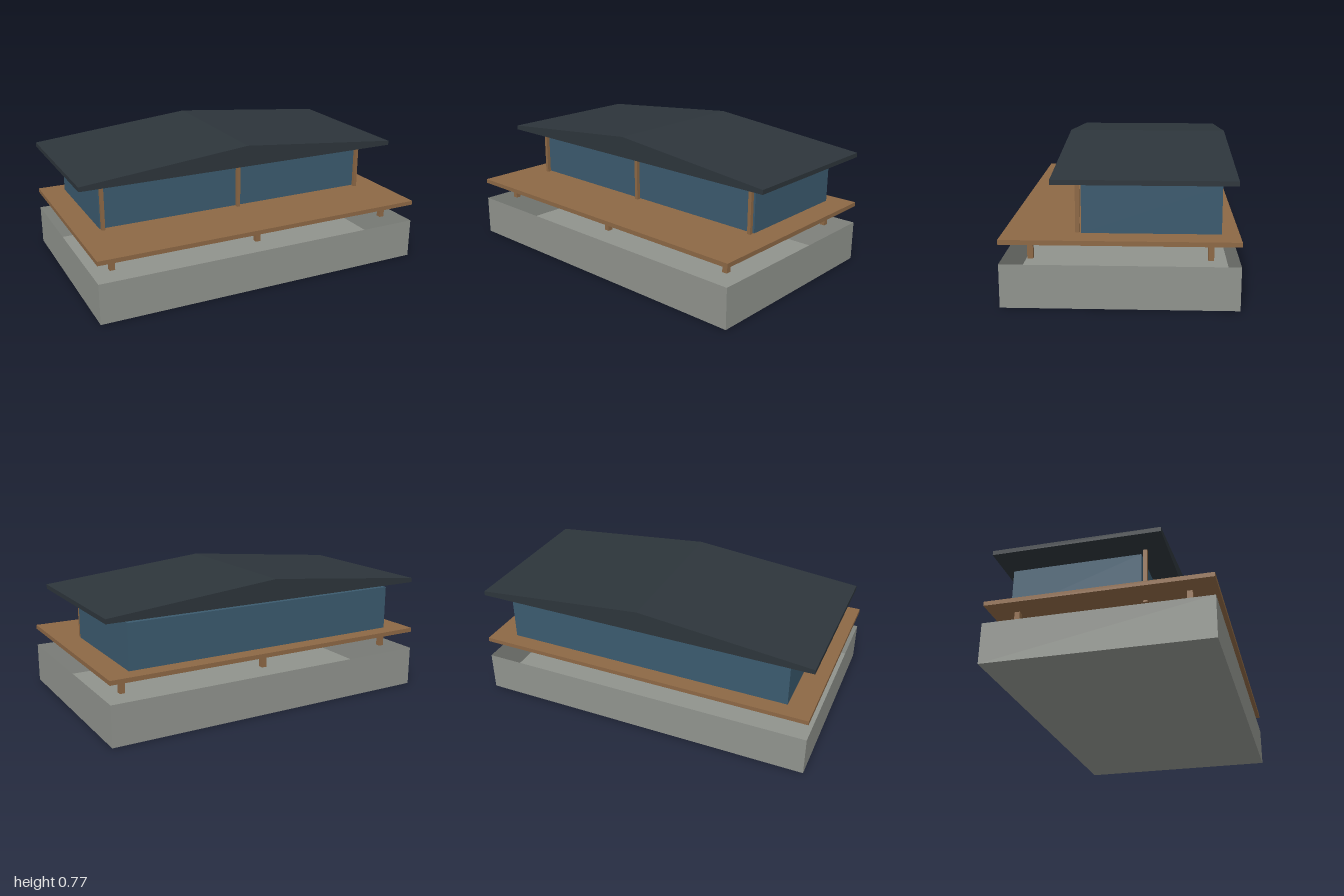
import * as THREE from 'three';

const mat = (name, color, side = THREE.FrontSide) => {
  const m = new THREE.MeshStandardMaterial({ color, side });
  m.name = name;
  return m;
};

export function createModel() {
  const house = new THREE.Group();
  house.name = 'pavilion';
  const concrete = mat('concrete', 0x90938d, THREE.DoubleSide);
  const wood = mat('wood', 0x8d6845);
  const glass = mat('blueWall', 0x3b5a6e);
  const slate = mat('slate', 0x2d353b);

  const add = (name, geometry, material) => {
    const mesh = new THREE.Mesh(geometry, material);
    mesh.name = name;
    house.add(mesh);
    return mesh;
  };
  // Box given by its extents on each axis
  const block = (name, material, [x0, x1], [y0, y1], [z0, z1]) => {
    const mesh = add(name, new THREE.BoxGeometry(x1 - x0, y1 - y0, z1 - z0), material);
    mesh.position.set((x0 + x1) / 2, (y0 + y1) / 2, (z0 + z1) / 2);
    return mesh;
  };
  const around = (c, w) => [c - w / 2, c + w / 2];

  // Foundation: thin-walled tray, open at the top
  const tray = new THREE.BoxGeometry(2, 0.233, 1.23);
  const index = Array.from(tray.index.array);
  index.splice(12, 6); // drop the top face
  tray.setIndex(index);
  tray.clearGroups();
  add('foundation', tray, concrete).position.y = 0.1165;

  // Raised deck and enclosed room
  block('deck', wood, [-1, 1], [0.337, 0.362], [-0.615, 0.615]);
  block('room', glass, [-0.857, 0.857], [0.362, 0.62], [-0.522, 0.205]);

  // Short piers under the deck
  for (const x of [-0.88, 0, 0.88])
    for (const z of [-0.468, 0.468])
      block('pier', wood, around(x, 0.03), [0.232, 0.337], around(z, 0.03));

  // Slender porch posts, passing through the deck to the roof
  for (const x of [-0.843, 0, 0.843])
    block('porchPost', wood, around(x, 0.02), [0.327, 0.65], around(0.225, 0.022));

  // Low gable roof with a flat underside
  const gable = new THREE.Shape([
    new THREE.Vector2(-1, 0.648),
    new THREE.Vector2(1, 0.648),
    new THREE.Vector2(1, 0.674),
    new THREE.Vector2(0, 0.771),
    new THREE.Vector2(-1, 0.674),
  ]);
  add('roof', new THREE.ExtrudeGeometry(gable, { depth: 0.935, bevelEnabled: false }), slate).position.z = -0.59;

  return house;
}
